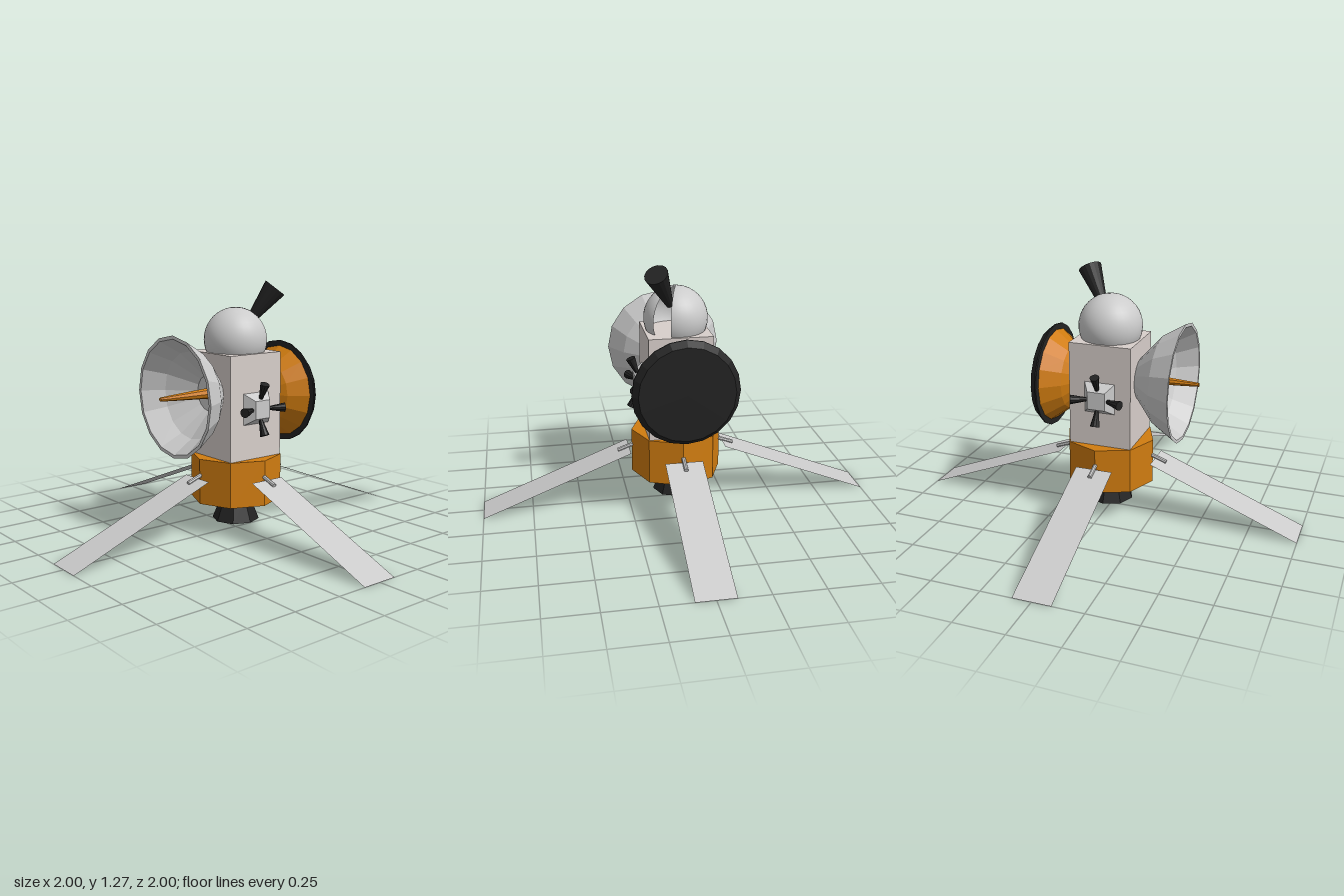
import * as THREE from 'three';

const V = (x, y, z) => new THREE.Vector3(x, y, z);
const mat = (color, opts = {}) => new THREE.MeshStandardMaterial({ color, flatShading: true, ...opts });
const DOUBLE = { side: THREE.DoubleSide };

export function createModel() {
  const model = new THREE.Group();
  const grey = mat(0xcccccc);
  const greyThin = mat(0xcccccc, DOUBLE);
  const hull = mat(0xd8cfcb);
  const orange = mat(0xd07c10);
  const black = mat(0x222222);
  const blackThin = mat(0x222222, DOUBLE);

  const add = (name, geometry, material, parent = model) => {
    const mesh = new THREE.Mesh(geometry, material);
    mesh.name = name;
    parent.add(mesh);
    return mesh;
  };
  // Tapered cylinder running from point a (radius ra) to point b (radius rb)
  const taper = (name, a, b, ra, rb, sides, material, parent = model, open = false) => {
    const mesh = add(name, new THREE.CylinderGeometry(rb, ra, a.distanceTo(b), sides, 1, open), material, parent);
    mesh.position.copy(a).lerp(b, 0.5);
    mesh.quaternion.setFromUnitVectors(V(0, 1, 0), b.clone().sub(a).normalize());
    return mesh;
  };
  // Lathe of [radius, distance] pairs, turned to point along +x (dir 1) or -x (dir -1)
  const sideLathe = (name, pts, sides, y, dir, material) => {
    const profile = pts.map(([r, d]) => new THREE.Vector2(r, d));
    const mesh = add(name, new THREE.LatheGeometry(profile, sides), material);
    mesh.rotation.z = -dir * Math.PI / 2;
    mesh.position.y = y;
    return mesh;
  };

  // Hull: square tower on an octagonal base
  add('bodyTower', new THREE.BoxGeometry(0.32, 0.53, 0.32), hull).position.y = 0.655;
  add('octagonBase', new THREE.CylinderGeometry(0.23, 0.23, 0.23, 8), orange).position.y = 0.28;

  // Main engine bell, open below
  taper('engineBell', V(0, 0.05, 0), V(0, 0.165, 0), 0.12, 0.075, 8, blackThin, model, true);

  // Dome with a vertical slot, and the telescope looking out of it
  const dome = add('dome',
    new THREE.SphereGeometry(0.16, 32, 20, THREE.MathUtils.degToRad(162), THREE.MathUtils.degToRad(326)),
    new THREE.MeshStandardMaterial({ color: 0xcccccc, side: THREE.DoubleSide }));
  dome.position.y = 0.98;
  const aim = V(0.155, 0.255, 0.12);
  const along = (t) => V(0, 0.98, 0).addScaledVector(aim, t);
  taper('telescope', along(0.3), along(1), 0.018, 0.059, 16, black);

  // Large dish on the right side, with rim thickness and a feed horn
  sideLathe('dish', [[0, 0.15], [0.1, 0.155], [0.23, 0.27], [0.3, 0.385], [0.283, 0.385],
    [0.217, 0.282], [0.09, 0.172], [0, 0.165]], 16, 0.722, -1, greyThin);
  taper('dishFeed', V(-0.16, 0.722, 0), V(-0.385, 0.722, 0), 0.028, 0.015, 8, orange);
  taper('dishFeedTip', V(-0.385, 0.722, 0), V(-0.46, 0.722, 0), 0.015, 0.01, 8, orange);

  // Sensor drum on the left side
  sideLathe('sensorBowl', [[0, 0.15], [0.105, 0.165], [0.165, 0.205], [0.237, 0.295]], 16, 0.69, 1, orange);
  sideLathe('sensorCover', [[0, 0.29], [0.265, 0.295], [0.265, 0.302], [0.237, 0.335], [0, 0.335]], 20, 0.69, 1, black);

  // Thruster pods on the front and back faces
  for (const turn of [0, Math.PI]) {
    const pod = new THREE.Group();
    pod.name = turn ? 'backThrusterPod' : 'frontThrusterPod';
    pod.rotation.y = turn;
    model.add(pod);
    // Square frustum: a four-sided cylinder turned to face outward
    const block = new THREE.CylinderGeometry(0.045 * Math.SQRT2, 0.08 * Math.SQRT2, 0.055, 4);
    block.rotateY(Math.PI / 4).rotateX(Math.PI / 2);
    add('podBlock', block, grey, pod).position.set(0, 0.65, 0.185);
    for (let i = 0; i < 4; i++) {
      const c = Math.round(Math.cos(i * Math.PI / 2)), s = Math.round(Math.sin(i * Math.PI / 2));
      const at = (r, z) => V(c * r, 0.65 + s * r, z);
      taper('thrusterNozzle', at(0.05, 0.195), at(0.128, 0.228), 0.009, 0.024, 10, black, pod);
    }
  }

  // Four drooping solar panels on short struts
  for (let i = 0; i < 4; i++) {
    const arm = new THREE.Group();
    arm.name = 'panelArm';
    arm.rotation.y = i * Math.PI / 2;
    model.add(arm);
    const inner = V(0, 0.3, 0.245), outer = V(0, 0, 1);
    const panel = add('solarPanel', new THREE.PlaneGeometry(0.19, inner.distanceTo(outer)), greyThin, arm);
    panel.position.copy(inner).lerp(outer, 0.5);
    panel.rotation.x = -Math.atan2(outer.z - inner.z, inner.y - outer.y);
    taper('panelStrut', V(0, 0.325, 0.19), V(0, 0.284, 0.302), 0.011, 0.011, 8, grey, arm);
  }
  return model;
}
